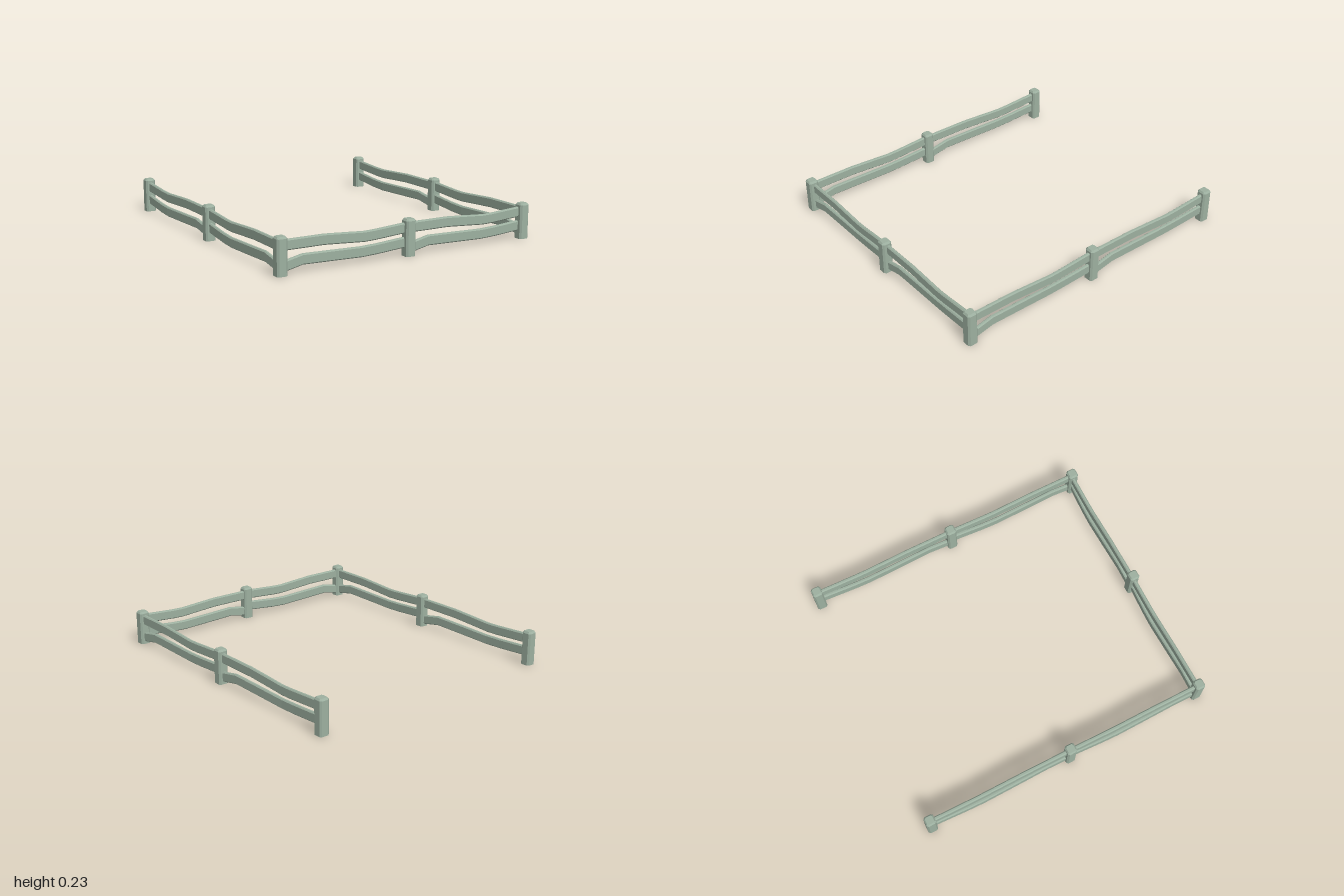
import * as THREE from 'three';

// Chamfered rectangle, counter-clockwise, as [u, v] corners
function chamferedRect(w, h, c) {
  const a = w / 2, b = h / 2;
  return [
    [a, -b + c], [a, b - c], [a - c, b], [-a + c, b],
    [-a, b - c], [-a, -b + c], [-a + c, -b], [a - c, -b],
  ];
}

// Joins equal-sized rings of points and caps both ends
function loft(rings) {
  const n = rings[0].length, pos = [], idx = [];
  rings.forEach((r) => r.forEach((p) => pos.push(...p)));
  for (let k = 0; k < rings.length - 1; k++) {
    for (let i = 0; i < n; i++) {
      const a = k * n + i, b = k * n + (i + 1) % n;
      idx.push(a, b, b + n, a, b + n, a + n);
    }
  }
  const last = (rings.length - 1) * n;
  for (let i = 1; i < n - 1; i++) {
    idx.push(0, i + 1, i, last, last + i, last + i + 1);
  }
  const g = new THREE.BufferGeometry();
  g.setAttribute('position', new THREE.Float32BufferAttribute(pos, 3));
  g.setIndex(idx);
  const flat = g.toNonIndexed();
  flat.computeVertexNormals();
  return flat;
}

// Post: straight shaft with a chamfered top
function postGeometry() {
  const levels = [[0, 1], [0.215, 1], [0.227, 0.74]];
  const section = chamferedRect(0.067, 0.067, 0.011);
  return loft(levels.map(([y, s]) => section.map(([u, v]) => [u * s, y, -v * s])));
}

// Rail along +x over the given length; path holds [t, y, z]
function railGeometry(path, length) {
  const section = chamferedRect(0.025, 0.064, 0.007);
  return loft(path.map(([t, y, z]) => section.map(([u, v]) => [t * length, y + v, z - u])));
}

const UPPER = [[0, 0.171, 0], [0.33, 0.171, 0], [0.48, 0.163, 0], [0.64, 0.154, 0], [0.72, 0.156, 0], [1, 0.173, 0]];
const LOWER = [[0, 0.044, 0], [0.04, 0.051, 0], [0.17, 0.074, -0.003], [0.4, 0.068, -0.007],
  [0.63, 0.062, -0.01], [0.75, 0.067, -0.008], [1, 0.086, 0]];

export function createModel() {
  const model = new THREE.Group();
  model.name = 'fence';
  const wood = new THREE.MeshStandardMaterial({ color: 0x9db0a0, flatShading: true });
  wood.name = 'pale green wood';

  const X = 0.86, FRONT = 0.966, MID = 0.025, BACK = -0.966;

  // Posts
  const postGeo = postGeometry();
  const posts = [[0, FRONT]];
  for (const x of [-X, X]) for (const z of [FRONT, MID, BACK]) posts.push([x, z]);
  for (const [x, z] of posts) {
    const post = new THREE.Mesh(postGeo, wood);
    post.name = 'post';
    post.position.set(x, 0, z);
    model.add(post);
  }

  // One pair of rails between two posts
  function addSpan(name, x, z, length, turn) {
    const span = new THREE.Group();
    span.name = name;
    for (const [part, path] of [['upperRail', UPPER], ['lowerRail', LOWER]]) {
      const rail = new THREE.Mesh(railGeometry(path, length), wood);
      rail.name = part;
      span.add(rail);
    }
    span.position.set(x, 0, z);
    span.rotation.y = turn;
    model.add(span);
  }

  // Front spans run left to right, side spans run front to back
  for (const x of [-X, 0]) addSpan('frontSpan', x, FRONT - 0.006, X, 0);
  for (const x of [-X, X]) {
    addSpan('sideSpan', x, FRONT, FRONT - MID, Math.PI / 2);
    addSpan('sideSpan', x, MID, MID - BACK, Math.PI / 2);
  }
  return model;
}
